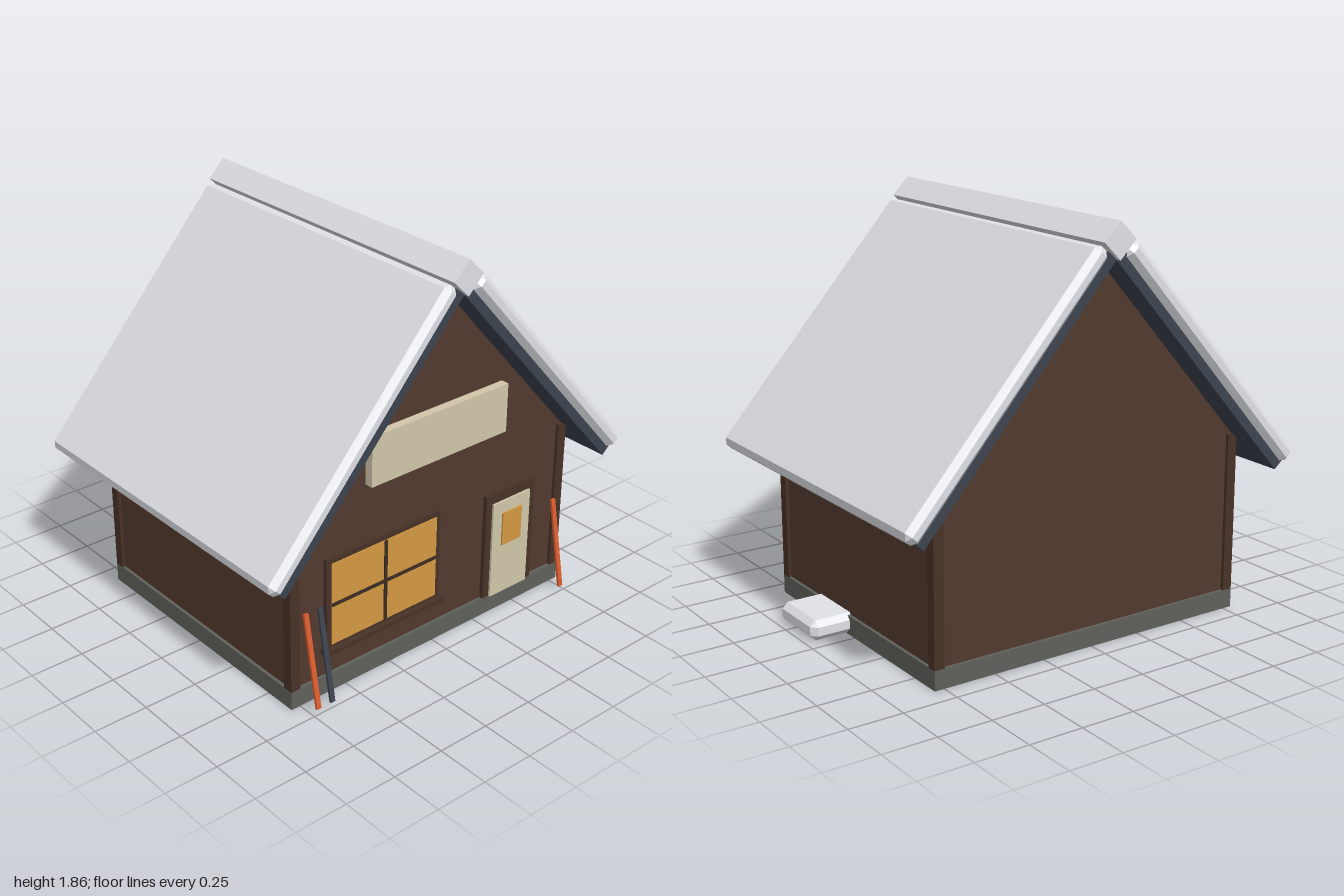
import * as THREE from 'three';
import { ConvexGeometry } from 'three/addons/geometries/ConvexGeometry.js';

const material = (name, color) => {
  const m = new THREE.MeshStandardMaterial({ color });
  m.name = name;
  return m;
};

// Box with every edge cut at 45 degrees
function chamferedBox(w, h, d, c) {
  const points = [];
  for (const sx of [-1, 1]) for (const sy of [-1, 1]) for (const sz of [-1, 1]) {
    for (let axis = 0; axis < 3; axis++) {
      const inset = [c, c, c];
      inset[axis] = 0;
      points.push(new THREE.Vector3(
        sx * (w / 2 - inset[0]), sy * (h / 2 - inset[1]), sz * (d / 2 - inset[2])));
    }
  }
  return new ConvexGeometry(points);
}

export function createModel() {
  const model = new THREE.Group();
  model.name = 'cabin';

  const wood = material('brown wood', 0x523a2e);
  const trim = material('dark trim', 0x483227);
  const bar = material('window bar', 0x3b2c22);
  const stone = material('foundation stone', 0x60615b);
  const slate = material('roof slate', 0x3d4450);
  const snow = material('snow', 0xe0e2e7);
  const cream = material('cream paint', 0xd2c7ab);
  const glow = material('lit window', 0xd59942);
  const orange = material('orange ski', 0xdc5c2e);

  const add = (name, geometry, mat, x = 0, y = 0, z = 0) => {
    const mesh = new THREE.Mesh(geometry, mat);
    mesh.name = name;
    mesh.position.set(x, y, z);
    model.add(mesh);
    return mesh;
  };
  // Box given by its limits on each axis
  const block = (name, mat, x0, x1, y0, y1, z0, z1) =>
    add(name, new THREE.BoxGeometry(x1 - x0, y1 - y0, z1 - z0), mat,
      (x0 + x1) / 2, (y0 + y1) / 2, (z0 + z1) / 2);

  // Foundation and gabled body
  block('foundation', stone, -0.795, 0.795, 0, 0.088, -0.655, 0.655);
  const gable = new THREE.Shape([
    new THREE.Vector2(-0.78, 0.088), new THREE.Vector2(0.78, 0.088),
    new THREE.Vector2(0.78, 0.82), new THREE.Vector2(0, 1.7),
    new THREE.Vector2(-0.78, 0.82),
  ]);
  add('walls', new THREE.ExtrudeGeometry(gable, { depth: 1.28, bevelEnabled: false }),
    wood, 0, 0, -0.64);

  // Corner posts
  for (const sx of [-1, 1]) for (const sz of [-1, 1]) {
    add('cornerPost', new THREE.BoxGeometry(0.048, 0.735, 0.048), trim,
      sx * 0.771, 0.455, sz * 0.631);
  }

  // Roof slabs, each under a layer of snow
  const pitch = THREE.MathUtils.degToRad(48.5);
  const slabGeometry = new THREE.BoxGeometry(1.382, 0.055, 1.56);
  const snowGeometry = chamferedBox(1.392, 0.08, 1.61, 0.025);
  for (const s of [-1, 1]) {
    add('roofSlab', slabGeometry, slate, s * 0.478, 1.201).rotation.z = -s * pitch;
    add('roofSnow', snowGeometry, snow, s * 0.525, 1.231).rotation.z = -s * pitch;
  }
  add('ridgeCap', new THREE.BoxGeometry(0.113, 0.113, 1.61), snow, 0, 1.78)
    .rotation.z = Math.PI / 4;

  // Blank sign board
  block('signBoard', cream, -0.385, 0.382, 0.925, 1.155, 0.63, 0.68);

  // Front window
  block('windowFrame', trim, -0.608, 0.026, 0.21, 0.657, 0.63, 0.66);
  block('windowGlass', glow, -0.583, 0.001, 0.24, 0.633, 0.659, 0.665);
  block('windowBarUpright', bar, -0.299, -0.283, 0.24, 0.633, 0.66, 0.67);
  block('windowBarCross', bar, -0.583, 0.001, 0.429, 0.444, 0.66, 0.67);
  block('windowSill', trim, -0.625, 0.044, 0.2, 0.223, 0.63, 0.682);

  // Door
  block('doorFrame', trim, 0.305, 0.605, 0.088, 0.615, 0.63, 0.66);
  block('door', cream, 0.341, 0.569, 0.088, 0.566, 0.64, 0.67);
  block('doorWindow', glow, 0.396, 0.514, 0.342, 0.507, 0.67, 0.677);

  // Skis leaning on the front wall
  for (const [x, mat] of [[-0.728, orange], [-0.653, slate], [0.722, orange]]) {
    add('ski', new THREE.BoxGeometry(0.023, 0.435, 0.012), mat, x, 0.244, 0.71)
      .rotation.x = -0.184;
  }

  // Snow pile beside the foundation
  add('snowPile', chamferedBox(0.315, 0.092, 0.31, 0.026), snow, 0.818, 0.051, 0.193);

  return model;
}
